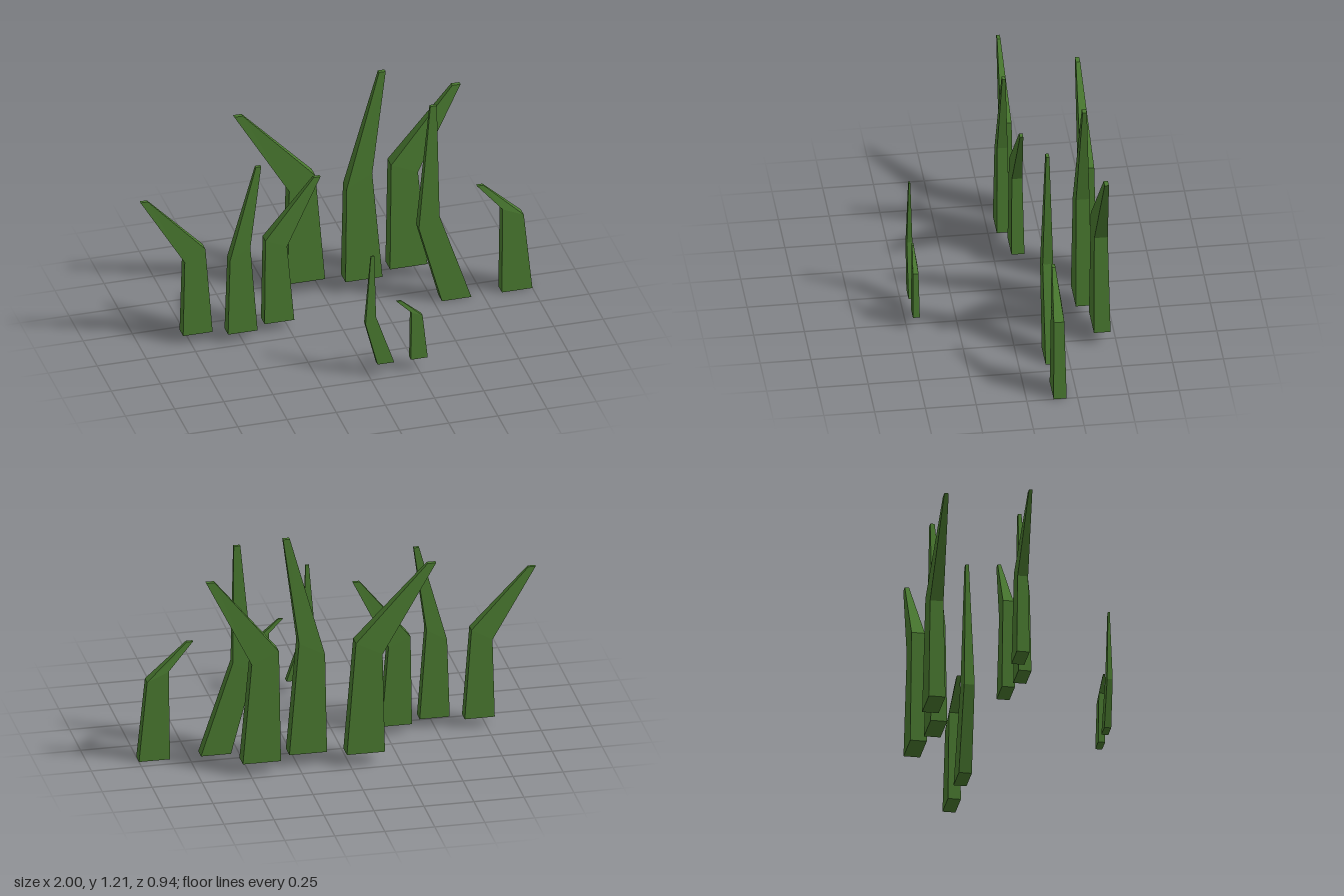
import * as THREE from 'three';

const grassMaterial = new THREE.MeshStandardMaterial({ color: 0x4a7a30, flatShading: true });

// One bent blade: three four-cornered sections joined into a closed, tapering solid.
// Each section is [xLeft, yLeft, xRight, yRight]; the depth shrinks towards the tip.
function bladeGeometry(sections, z, halfDepth) {
  const taper = [1, 0.81, 0.26];
  const positions = [];
  const index = [];
  sections.forEach(([xl, yl, xr, yr], i) => {
    const d = halfDepth * taper[i];
    positions.push(xl, yl, z + d, xr, yr, z + d, xr, yr, z - d, xl, yl, z - d);
  });
  for (let i = 0; i < sections.length - 1; i++) {
    for (let j = 0; j < 4; j++) {
      const a = i * 4 + j;
      const b = i * 4 + ((j + 1) % 4);
      index.push(a, b, b + 4, a, b + 4, a + 4);
    }
  }
  // End caps
  const t = (sections.length - 1) * 4;
  index.push(0, 2, 1, 0, 3, 2, t, t + 1, t + 2, t, t + 2, t + 3);
  const geometry = new THREE.BufferGeometry();
  geometry.setAttribute('position', new THREE.Float32BufferAttribute(positions, 3));
  geometry.setIndex(index);
  const flat = geometry.toNonIndexed();
  flat.computeVertexNormals();
  return flat;
}

// Clumps of blades; base and tip are [xLeft, xRight, y], bend is a slanted section.
const clumps = [
  {
    name: 'leftClump', halfDepth: 0.032, blades: [
      { z: -0.113, base: [-0.79, -0.64, 0.048], bend: [-0.78, 0.46, -0.675, 0.52], tip: [-1.0, -0.963, 0.825] },
      { z: -0.066, base: [-0.575, -0.425, 0.048], bend: [-0.563, 0.46, -0.46, 0.52], tip: [-0.427, -0.4, 0.96] },
      { z: -0.113, base: [-0.376, -0.225, 0.048], bend: [-0.37, 0.515, -0.26, 0.467], tip: [-0.12, -0.085, 0.825] },
    ],
  },
  {
    name: 'tallClump', halfDepth: 0.041, blades: [
      { z: -0.43, base: [-0.17, 0.02, 0.065], bend: [-0.16, 0.585, -0.027, 0.655], tip: [-0.433, -0.39, 1.04] },
      { z: -0.372, base: [0.107, 0.295, 0.065], bend: [0.115, 0.585, 0.245, 0.655], tip: [0.286, 0.32, 1.21] },
      { z: -0.43, base: [0.35, 0.54, 0.065], bend: [0.358, 0.65, 0.494, 0.59], tip: [0.675, 0.717, 1.04] },
    ],
  },
  {
    name: 'rightClump', halfDepth: 0.032, blades: [
      { z: -0.164, base: [0.54, 0.69, 0], bend: [0.425, 0.425, 0.53, 0.48], tip: [0.488, 0.521, 1.1] },
      { z: -0.164, base: [0.845, 1.0, 0], bend: [0.85, 0.467, 0.958, 0.42], tip: [0.725, 0.757, 0.61] },
    ],
  },
  {
    name: 'smallClump', halfDepth: 0.017, blades: [
      { z: 0.454, base: [0.04, 0.125, 0.065], bend: [-0.02, 0.3, 0.033, 0.335], tip: [0.01, 0.028, 0.675] },
      { z: 0.454, base: [0.21, 0.295, 0.065], bend: [0.213, 0.33, 0.27, 0.305], tip: [0.14, 0.163, 0.4] },
    ],
  },
];

export function createModel() {
  const model = new THREE.Group();
  model.name = 'grass';
  for (const { name, halfDepth, blades } of clumps) {
    const clump = new THREE.Group();
    clump.name = name;
    blades.forEach(({ z, base, bend, tip }, i) => {
      const level = ([xl, xr, y]) => [xl, y, xr, y];
      const mesh = new THREE.Mesh(bladeGeometry([level(base), bend, level(tip)], z, halfDepth), grassMaterial);
      mesh.name = `grassBlade${i + 1}`;
      clump.add(mesh);
    });
    model.add(clump);
  }
  return model;
}
